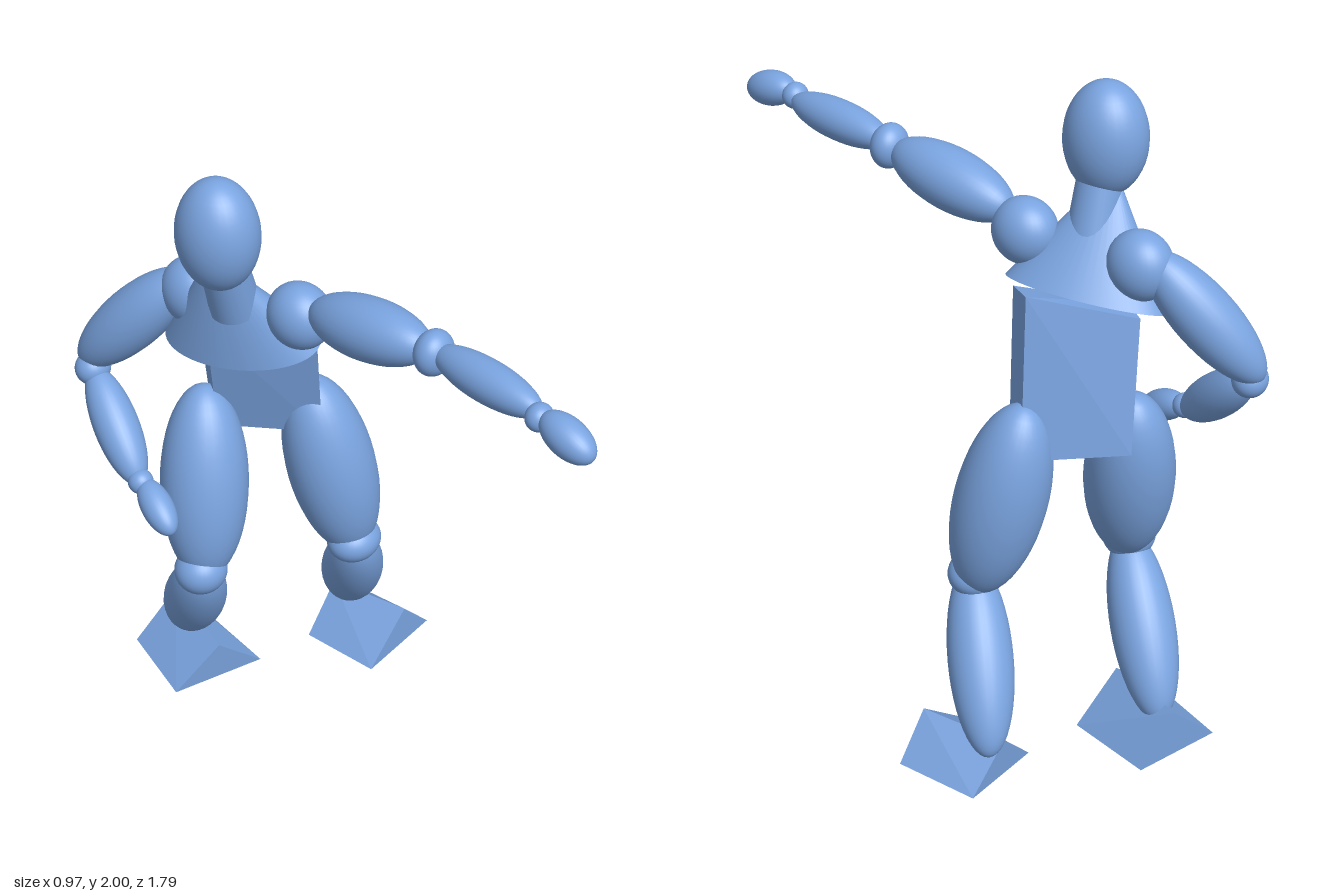
import * as THREE from 'three';
import { ConvexGeometry } from 'three/addons/geometries/ConvexGeometry.js';

const V = (p) => new THREE.Vector3(...p);
const UP = new THREE.Vector3(0, 1, 0);

export function createModel() {
  const model = new THREE.Group();
  model.name = 'posedMannequin';
  const mat = new THREE.MeshStandardMaterial({ color: 0x7aa4e0 });

  const add = (name, geometry, parent = model) => {
    const mesh = new THREE.Mesh(geometry, mat);
    mesh.name = name;
    parent.add(mesh);
    return mesh;
  };

  // Ellipsoid whose tips lie at p and q, with girth radius r
  const limb = (name, p, q, r, parent) => {
    const a = V(p), b = V(q);
    const m = add(name, new THREE.SphereGeometry(1, 32, 24), parent);
    m.scale.set(r, a.distanceTo(b) / 2, r);
    m.position.copy(a).add(b).multiplyScalar(0.5);
    m.quaternion.setFromUnitVectors(UP, b.sub(a).normalize());
    return m;
  };

  // Axis-aligned ellipsoid
  const ball = (name, c, radii, parent) => {
    const m = add(name, new THREE.SphereGeometry(1, 32, 24), parent);
    m.position.set(...c);
    m.scale.set(...radii);
    return m;
  };

  // Flat-sided solid through a few corners
  const block = (name, corners, parent) => add(name, new ConvexGeometry(corners.map(V)), parent);

  const group = (name) => {
    const g = new THREE.Group();
    g.name = name;
    model.add(g);
    return g;
  };

  // Head and neck
  ball('head', [-0.26, 1.828, -0.367], [0.116, 0.172, 0.124]);
  const n0 = V([-0.19, 1.55, -0.375]), n1 = V([-0.255, 1.76, -0.365]);
  const neck = add('neck', new THREE.CylinderGeometry(0.066, 0.075, n0.distanceTo(n1), 32));
  neck.position.copy(n0).add(n1).multiplyScalar(0.5);
  neck.quaternion.setFromUnitVectors(UP, n1.clone().sub(n0).normalize());

  // Chest: oval cone, wide across the shoulders
  const base = V([-0.135, 1.4, -0.4]);
  const axis = V([-0.33, 0.94, 0]).normalize();
  const side = V([0.3, 0.1, 0.95]).addScaledVector(axis, -V([0.3, 0.1, 0.95]).dot(axis)).normalize();
  const fore = side.clone().cross(axis);
  const chestGeo = new THREE.ConeGeometry(1, 0.37, 48).translate(0, 0.185, 0);
  chestGeo.applyMatrix4(new THREE.Matrix4()
    .makeBasis(side.multiplyScalar(0.24), axis, fore.multiplyScalar(0.122)).setPosition(base));
  add('chest', chestGeo);

  // Slab-like trunk, leaning and turned
  block('trunk', [
    [0.07, 1.46, -0.33], [0.015, 1.445, -0.25], [-0.11, 1.395, -0.593], [-0.165, 1.395, -0.515],
    [0.14, 0.97, -0.37], [0.09, 0.97, -0.295], [-0.03, 1.0, -0.63], [-0.085, 0.98, -0.555],
  ]);

  // Arms: [shoulder, upper arm tips, elbow, forearm tips, wrist, hand tips]
  const arms = {
    leftArm: {
      shoulder: [[-0.115, 1.548, -0.2], [0.088, 0.1, 0.1]],
      upper: [[-0.12, 1.59, -0.15], [-0.14, 1.655, 0.275], 0.092],
      elbow: [[-0.145, 1.655, 0.295], [0.065, 0.068, 0.053]],
      fore: [[-0.147, 1.665, 0.3], [-0.2, 1.668, 0.69], 0.061],
      wrist: [[-0.222, 1.67, 0.7], [0.042, 0.04, 0.038]],
      hand: [[-0.225, 1.685, 0.712], [-0.25, 1.635, 0.893], 0.054],
    },
    rightArm: {
      shoulder: [[-0.175, 1.52, -0.545], [0.088, 0.105, 0.1]],
      upper: [[-0.175, 1.565, -0.57], [-0.305, 1.2, -0.88], 0.09],
      elbow: [[-0.305, 1.19, -0.842], [0.056, 0.052, 0.052]],
      fore: [[-0.305, 1.19, -0.84], [-0.41, 0.94, -0.58], 0.068],
      wrist: [[-0.41, 0.955, -0.575], [0.038, 0.038, 0.038]],
      hand: [[-0.405, 0.96, -0.57], [-0.463, 0.87, -0.41], 0.048],
    },
  };
  for (const [name, a] of Object.entries(arms)) {
    const g = group(name);
    ball('shoulder', ...a.shoulder, g);
    limb('upperArm', ...a.upper, g);
    ball('elbow', ...a.elbow, g);
    limb('forearm', ...a.fore, g);
    ball('wrist', ...a.wrist, g);
    limb('hand', ...a.hand, g);
  }

  // Legs with wedge feet: four sole corners, then the two ridge ends
  const legs = {
    leftLeg: {
      thigh: [[0.105, 1.135, -0.36], [0.175, 0.5, -0.245], 0.136],
      knee: [[0.16, 0.548, -0.232], [0.09, 0.068, 0.08]],
      shin: [[0.135, 0.56, -0.2], [0.385, 0.1, -0.44], 0.097],
      foot: [[0.187, 0.012, -0.187], [0.48, 0.02, -0.187], [0.48, 0.015, -0.45],
        [0.2, 0.005, -0.455], [0.36, 0.15, -0.187], [0.34, 0.14, -0.46]],
    },
    rightLeg: {
      thigh: [[-0.11, 1.135, -0.58], [-0.24, 0.52, -0.495], 0.134],
      knee: [[-0.255, 0.56, -0.495], [0.083, 0.075, 0.08]],
      shin: [[-0.265, 0.56, -0.48], [-0.05, 0.1, -0.75], 0.097],
      foot: [[-0.285, 0.018, -0.6], [0.01, 0.008, -0.5], [0.076, 0.005, -0.77],
        [-0.178, 0.025, -0.862], [-0.14, 0.148, -0.54], [-0.03, 0.17, -0.815]],
    },
  };
  for (const [name, l] of Object.entries(legs)) {
    const g = group(name);
    limb('thigh', ...l.thigh, g);
    ball('knee', ...l.knee, g);
    limb('shin', ...l.shin, g);
    block('foot', l.foot, g);
  }

  return model;
}
